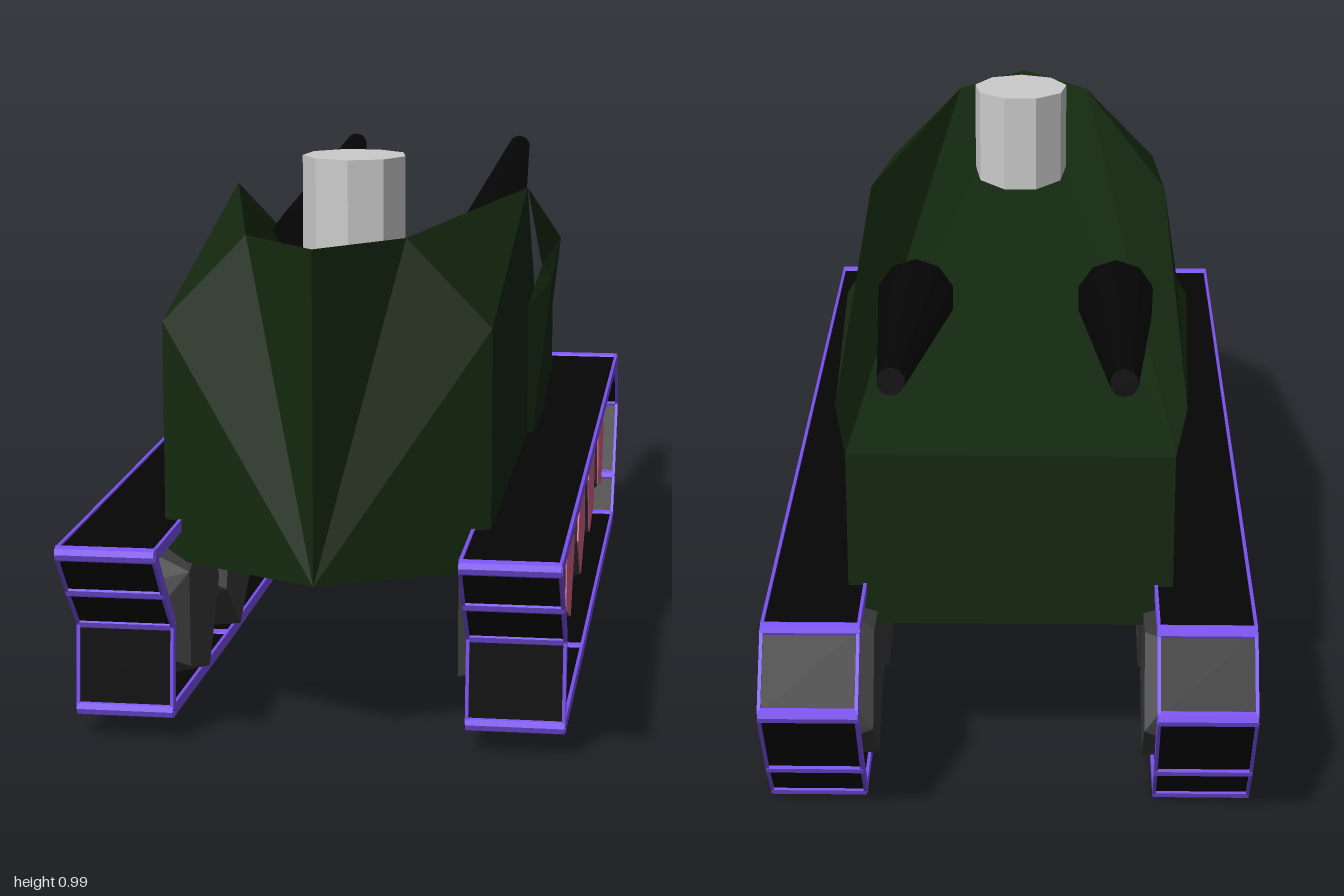
import * as THREE from 'three';
import { ConvexGeometry } from 'three/addons/geometries/ConvexGeometry.js';

const paint = (color) => new THREE.MeshStandardMaterial({ color, flatShading: true });
const green = paint(0x14280f), black = paint(0x060506), purple = paint(0x7a50f0);
const pink = paint(0xd9658a), rubber = paint(0x3a3a3a), grey = paint(0xcccccc);

function add(parent, name, geometry, material) {
  const mesh = new THREE.Mesh(geometry, material);
  mesh.name = name;
  parent.add(mesh);
  return mesh;
}

// Places a y-aligned mesh between two points
function span(mesh, a, b) {
  mesh.position.copy(a).add(b).multiplyScalar(0.5);
  mesh.quaternion.setFromUnitVectors(new THREE.Vector3(0, 1, 0), b.clone().sub(a).normalize());
}

// Hull: corners of the left half, mirrored to the right
function hullGeometry() {
  const p = {
    A: [0, 0.885, 0.91], a: [0, 0.302, 0.91],        // prow
    B: [0.14, 0.885, 0.755],                         // front of deck
    C: [0.29, 0.73, 0.755], c: [0.29, 0.302, 0.755], // front shoulder
    D: [0.29, 0.885, 0.02], d: [0.29, 0.302, -0.05], // crest
    M: [0.29, 0.64, -0.02], W: [0.29, 0.64, -0.2],   // wall behind the bulge
    E: [0.335, 0.69, -0.06], F: [0.31, 0.41, -0.07], // side bulge
    N: [0.315, 0.72, -0.05],
    G: [0.312, 0.69, -0.66],                         // rear ear
    H: [0.29, 0.63, -0.735], h: [0.29, 0.302, -0.735],
    Z: [0, 0.63, -0.735], z: [0, 0.302, -0.735],
  };
  const faces = ['acC', 'aCB', 'aBA', 'CDB', 'cdM', 'cMC', 'CMD', 'MWD', 'dFE', 'dEM', 'MEN',
    'dhF', 'FhH', 'FHG', 'FGE', 'EGN', 'NGD', 'DGH', 'BDH', 'ABH', 'AHZ', 'zZHh', 'azhdc'];
  const pos = [];
  for (const f of faces) {
    for (let i = 1; i < f.length - 1; i++) {
      const tri = [p[f[0]], p[f[i]], p[f[i + 1]]];
      for (const v of tri) pos.push(...v);
      for (const v of tri.reverse()) pos.push(-v[0], v[1], v[2]);
    }
  }
  const g = new THREE.BufferGeometry();
  g.setAttribute('position', new THREE.Float32BufferAttribute(pos, 3));
  g.computeVertexNormals();
  return g;
}

// Tread: black plates round an outline, with purple rims on both sides and cross bars
function tread(s) {
  const g = new THREE.Group();
  g.name = s > 0 ? 'leftTread' : 'rightTread';
  const inner = 0.26, outer = 0.428, mid = (inner + outer) / 2, width = outer - inner, r = 0.014;
  const outline = [[0.986, 0.367], [-0.9, 0.371], [-0.986, 0.25], [-0.885, 0.095], [-0.82, 0.014],
    [0.34, 0.037], [0.855, 0.053], [0.84, 0.207], [0.915, 0.285]];
  outline.forEach(([z, y], i) => {
    const [z2, y2] = outline[(i + 1) % outline.length];
    const at = (x, yy, zz) => new THREE.Vector3(s * x, yy, zz);
    const len = Math.hypot(z2 - z, y2 - y);
    span(add(g, 'treadPlate', new THREE.BoxGeometry(width, len, 0.014), black), at(mid, y, z), at(mid, y2, z2));
    for (const x of [inner, outer]) {
      span(add(g, 'treadRim', new THREE.BoxGeometry(0.006, len, 0.022), purple), at(x, y, z), at(x, y2, z2));
    }
    span(add(g, 'treadBar', new THREE.CylinderGeometry(r, r, width + 0.004, 8), purple),
      at(inner - 0.002, y, z), at(outer + 0.002, y, z));
  });
  return g;
}

// Faceted road wheel with a coloured outer cap
function wheel(s, z, turn) {
  const g = new THREE.Group();
  g.name = 'wheel';
  const ring = (x, r, n, a) => Array.from({ length: n }, (_, i) => {
    const t = a + (i / n) * Math.PI * 2;
    return new THREE.Vector3(s * x, r * Math.sin(t), r * Math.cos(t));
  });
  const points = [...ring(0.238, 0.148, 5, turn + 0.3), ...ring(0.345, 0.155, 5, turn + 0.63),
    ...ring(0.4, 0.125, 5, turn)];
  add(g, 'wheelBody', new ConvexGeometry(points), rubber);
  const face = new THREE.CylinderGeometry(0.125, 0.125, 0.004, 5);
  face.rotateZ(-Math.PI / 2);
  face.rotateX(-turn);
  add(g, 'wheelCap', face, pink).position.x = s * 0.401;
  g.position.set(0, 0.208, z);
  return g;
}

export function createModel() {
  const model = new THREE.Group();
  model.name = 'tank';
  add(model, 'hull', hullGeometry(), green);

  // Chimney on the deck
  const chimney = add(model, 'chimney', new THREE.CylinderGeometry(0.097, 0.097, 0.23, 9), grey);
  chimney.position.set(0, 0.872, 0.395);

  for (const s of [1, -1]) {
    // Tapered gun rising towards the back
    const base = new THREE.Vector3(s * 0.192, 0.735, -0.21);
    const tip = new THREE.Vector3(s * 0.192, 0.861, -0.968);
    span(add(model, 'gun', new THREE.CylinderGeometry(0.024, 0.075, base.distanceTo(tip), 10), black), base, tip);

    model.add(tread(s));
    [0.68, 0.32, -0.05, -0.4, -0.76].forEach((z, i) => model.add(wheel(s, z, 0.3 + i * 0.37)));
  }
  return model;
}
